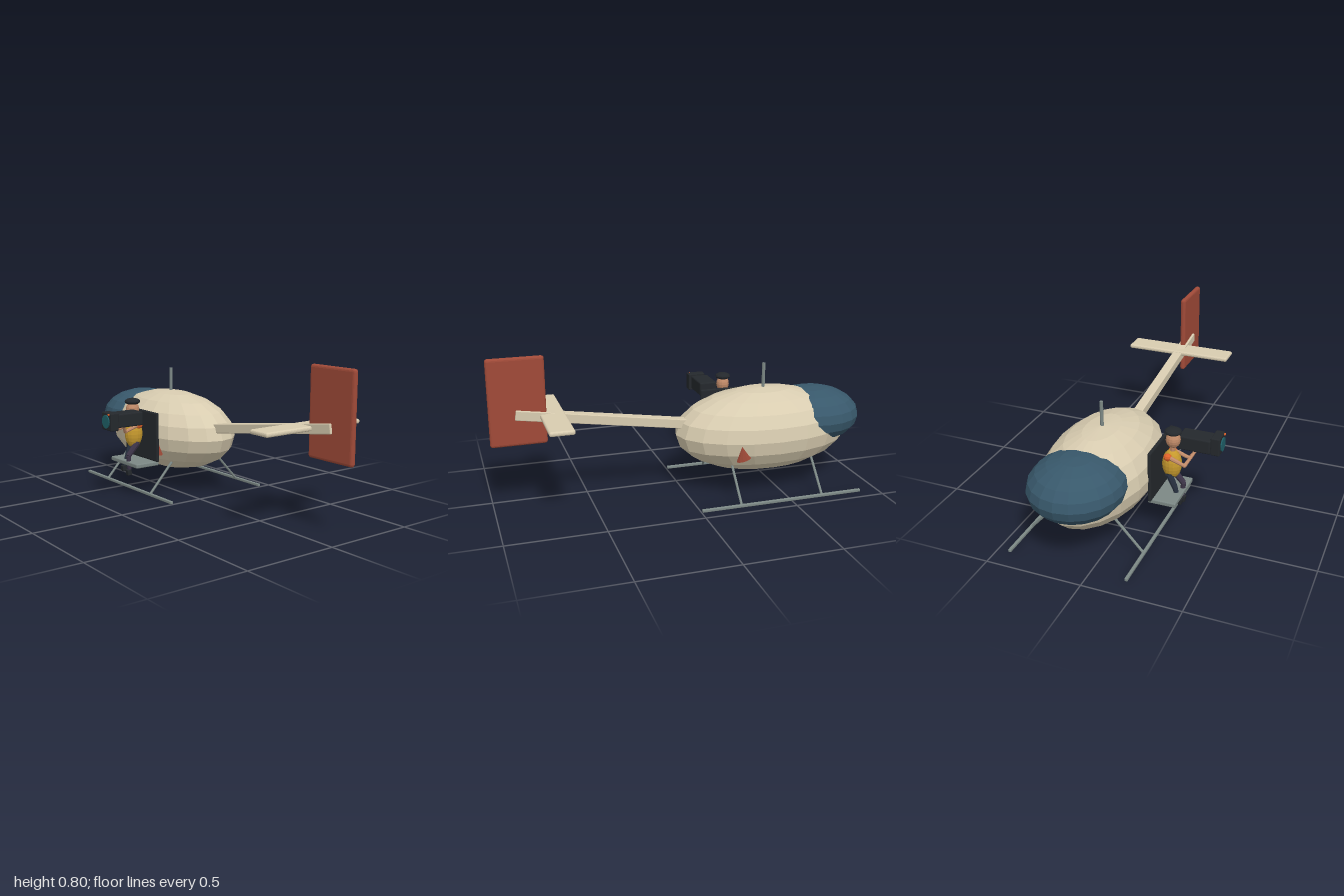
import * as THREE from 'three';
import { RoundedBoxGeometry } from 'three/addons/geometries/RoundedBoxGeometry.js';

const CX = 0.125; // centre line of the aircraft
const mat = (color, flatShading = true) => new THREE.MeshStandardMaterial({ color, flatShading });
const cream = mat(0xd8ccb0), glass = mat(0x38586b), red = mat(0xa04a38), metal = mat(0x7c8885),
  dark = mat(0x24282c), skin = mat(0xc08a68), yellow = mat(0xc79a2e), orange = mat(0xe0622a),
  purple = mat(0x3c3448), navy = mat(0x27303f), teal = mat(0x1f6068);

export function createModel() {
  const root = new THREE.Group();

  function add(parent, name, geometry, material, x = 0, y = 0, z = 0) {
    const mesh = new THREE.Mesh(geometry, material);
    mesh.name = name;
    mesh.position.set(x, y, z);
    parent.add(mesh);
    return mesh;
  }
  const ball = (parent, name, m, [x, y, z], [rx, ry, rz], w = 20, h = 10) =>
    add(parent, name, new THREE.SphereGeometry(1, w, h).scale(rx, ry, rz), m, x, y, z);
  const box = (parent, name, m, [x, y, z], [w, h, d], r = 0.004) =>
    add(parent, name, new RoundedBoxGeometry(w, h, d, 2, r), m, x, y, z);
  // Round bar between two points, radius r0 at the start and r1 at the end
  function bar(parent, name, m, a, b, r0, r1 = r0, sides = 8) {
    const p = new THREE.Vector3(...a), q = new THREE.Vector3(...b);
    const mesh = add(parent, name, new THREE.CylinderGeometry(r1, r0, p.distanceTo(q), sides), m);
    mesh.position.copy(p).lerp(q, 0.5);
    mesh.quaternion.setFromUnitVectors(new THREE.Vector3(0, 1, 0), q.sub(p).normalize());
    return mesh;
  }

  // Fuselage, canopy and mast
  ball(root, 'fuselage', cream, [CX, 0.32, -0.45], [0.275, 0.225, 0.49]);
  ball(root, 'canopy', glass, [CX, 0.372, -0.74], [0.24, 0.15, 0.26]);
  bar(root, 'mast', metal, [CX, 0.5, -0.45], [CX, 0.675, -0.45], 0.009, 0.009, 10);

  // Tail
  const boom = box(root, 'tailBoom', cream, [CX, 0.446, 0.405], [0.054, 0.05, 0.94]);
  boom.rotation.x = -Math.atan2(0.133, 0.87);
  box(root, 'tailFin', red, [CX, 0.58, 0.857], [0.03, 0.452, 0.285], 0.014);
  box(root, 'stabiliser', cream, [CX, 0.5, 0.688], [0.616, 0.024, 0.125], 0.01);

  // Side scoops and landing gear, mirrored about the centre line
  for (const s of [-1, 1]) {
    const scoop = add(root, 'sideScoop', new THREE.ConeGeometry(0.042, 0.08, 10).scale(0.5, 1, 1),
      red, CX + s * 0.237, 0.27, -0.248);
    scoop.rotation.set(0.25, 0, s * -0.2);
    box(root, 'skid', metal, [CX + s * 0.309, 0.011, -0.452], [0.016, 0.016, 0.895]);
    for (const z of [-0.22, -0.675])
      bar(root, 'skidStrut', metal, [CX + s * 0.15, 0.185, z], [CX + s * 0.307, 0.011, z], 0.007);
  }

  // Open door panel and the seat ledge
  box(root, 'doorPanel', dark, [-0.146, 0.332, -0.35], [0.018, 0.275, 0.32], 0.008);
  box(root, 'seatLedge', metal, [-0.199, 0.182, -0.347], [0.146, 0.024, 0.27], 0.006);

  // Camera operator, facing outward (-x)
  const operator = new THREE.Group();
  operator.name = 'cameraOperator';
  root.add(operator);
  const Z = -0.345;
  ball(operator, 'torso', yellow, [-0.205, 0.34, Z], [0.051, 0.08, 0.045], 16, 12);
  bar(operator, 'neck', skin, [-0.207, 0.405, Z], [-0.21, 0.45, Z], 0.015);
  ball(operator, 'head', skin, [-0.21, 0.477, Z], [0.038, 0.044, 0.036], 14, 10);
  ball(operator, 'cap', dark, [-0.21, 0.522, Z], [0.044, 0.019, 0.042], 16, 8);
  for (const s of [-1, 1]) {
    const z = Z + s * 0.038;
    ball(operator, 'shoulder', orange, [-0.195, 0.392, z], [0.022, 0.02, 0.018], 10, 6);
    // Arms reach up to the camera
    const elbow = [-0.285, 0.364, z + s * 0.004];
    bar(operator, 'upperArm', skin, [-0.2, 0.393, z], elbow, 0.012, 0.009);
    ball(operator, 'elbow', skin, elbow, [0.01, 0.01, 0.01], 8, 6);
    bar(operator, 'forearm', skin, elbow, [-0.312, 0.408, s > 0 ? -0.28 : -0.325], 0.01, 0.007);
    // Bent legs, the two held slightly apart
    const m = s > 0 ? purple : navy, zl = Z + s * 0.026;
    const knee = s > 0 ? [-0.258, 0.222, zl] : [-0.232, 0.215, zl];
    const foot = s > 0 ? [-0.252, 0.125, zl] : [-0.252, 0.14, zl];
    bar(operator, 'thigh', m, [-0.198, 0.292, zl], knee, 0.019, 0.015);
    bar(operator, 'shin', m, knee, foot, 0.014, 0.011);
    const boot = box(operator, 'boot', dark, [foot[0] - 0.005, foot[1] + 0.005, zl], [0.026, 0.034, 0.026]);
    boot.rotation.z = 0.15;
  }
  const belt = add(operator, 'belt', new THREE.CylinderGeometry(0.028, 0.026, 0.022, 12), dark, -0.203, 0.285, Z);
  belt.scale.z = 1.4;

  // Shoulder camera with lens hood
  const camera = new THREE.Group();
  camera.name = 'filmCamera';
  root.add(camera);
  box(camera, 'cameraBody', dark, [-0.307, 0.446, -0.265], [0.166, 0.076, 0.1], 0.008);
  box(camera, 'lensHood', dark, [-0.411, 0.446, -0.25], [0.048, 0.096, 0.098], 0.006);
  bar(camera, 'lens', teal, [-0.42, 0.446, -0.25], [-0.441, 0.446, -0.25], 0.036, 0.036, 16);
  box(camera, 'signalLamp', orange, [-0.436, 0.487, -0.22], [0.012, 0.01, 0.012], 0.003);

  return root;
}
